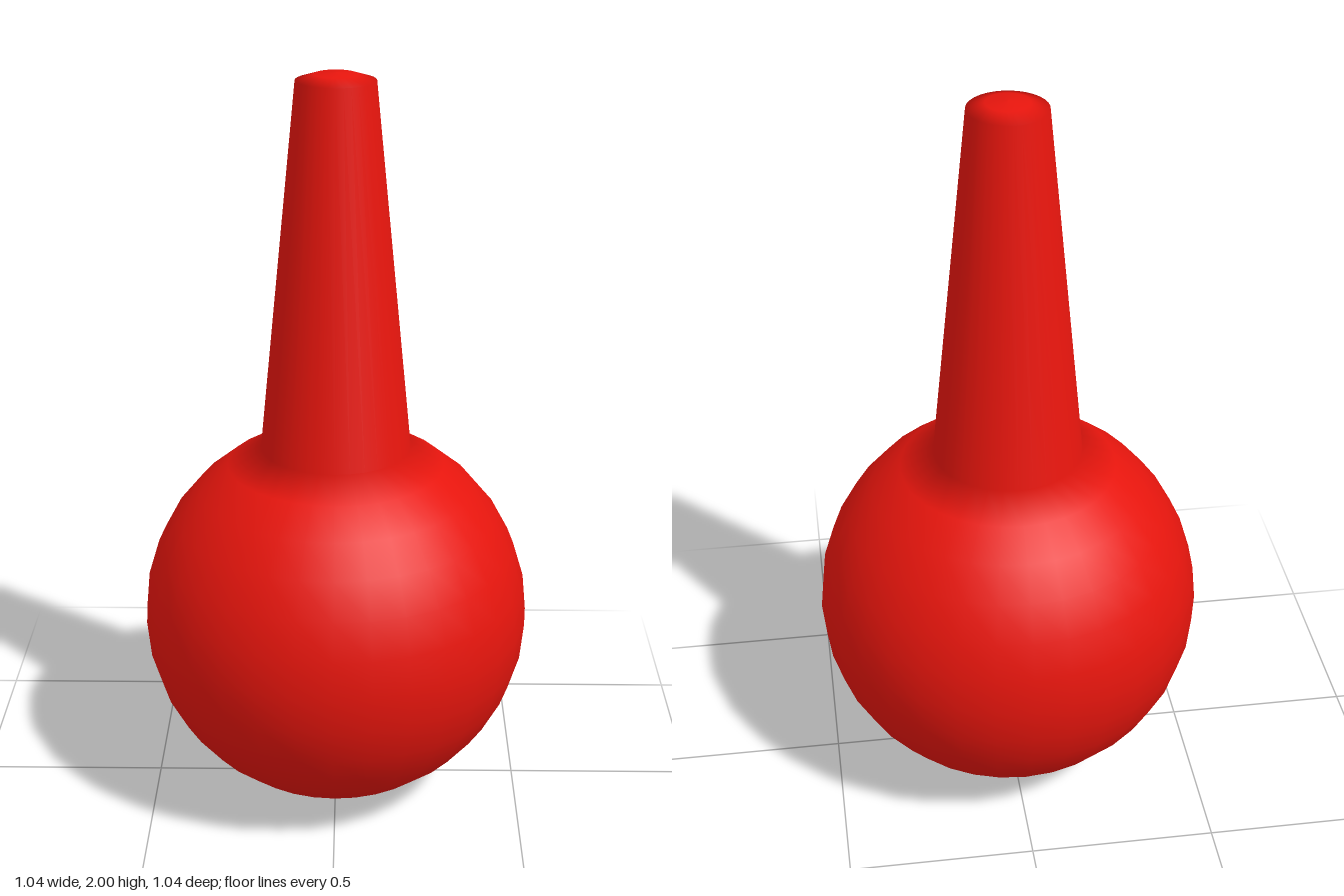
import * as THREE from 'three';

const SEGMENTS = 32;
const RADIUS = 0.52;

export function createModel() {
  const group = new THREE.Group();
  group.name = 'bulbWithNeck';
  const profile = [];

  // Round bulb, from the bottom pole up to the foot of the neck
  for (let i = 0; i <= 14; i++) {
    const a = (i / 16) * Math.PI;
    profile.push(new THREE.Vector2(RADIUS * Math.sin(a), RADIUS * (1 - Math.cos(a)) + 0.005));
  }
  profile[0].x = 0;

  // Tapered neck and its shallow domed tip
  profile.push(
    new THREE.Vector2(0.102, 1.98),
    new THREE.Vector2(0.055, 1.995),
    new THREE.Vector2(0, 2)
  );

  // One continuous skin, so the shading blends across the joint
  const body = new THREE.Mesh(
    new THREE.LatheGeometry(profile, SEGMENTS),
    new THREE.MeshStandardMaterial({ color: 0xe6150d })
  );
  body.name = 'bulbAndNeck';
  group.add(body);
  return group;
}
